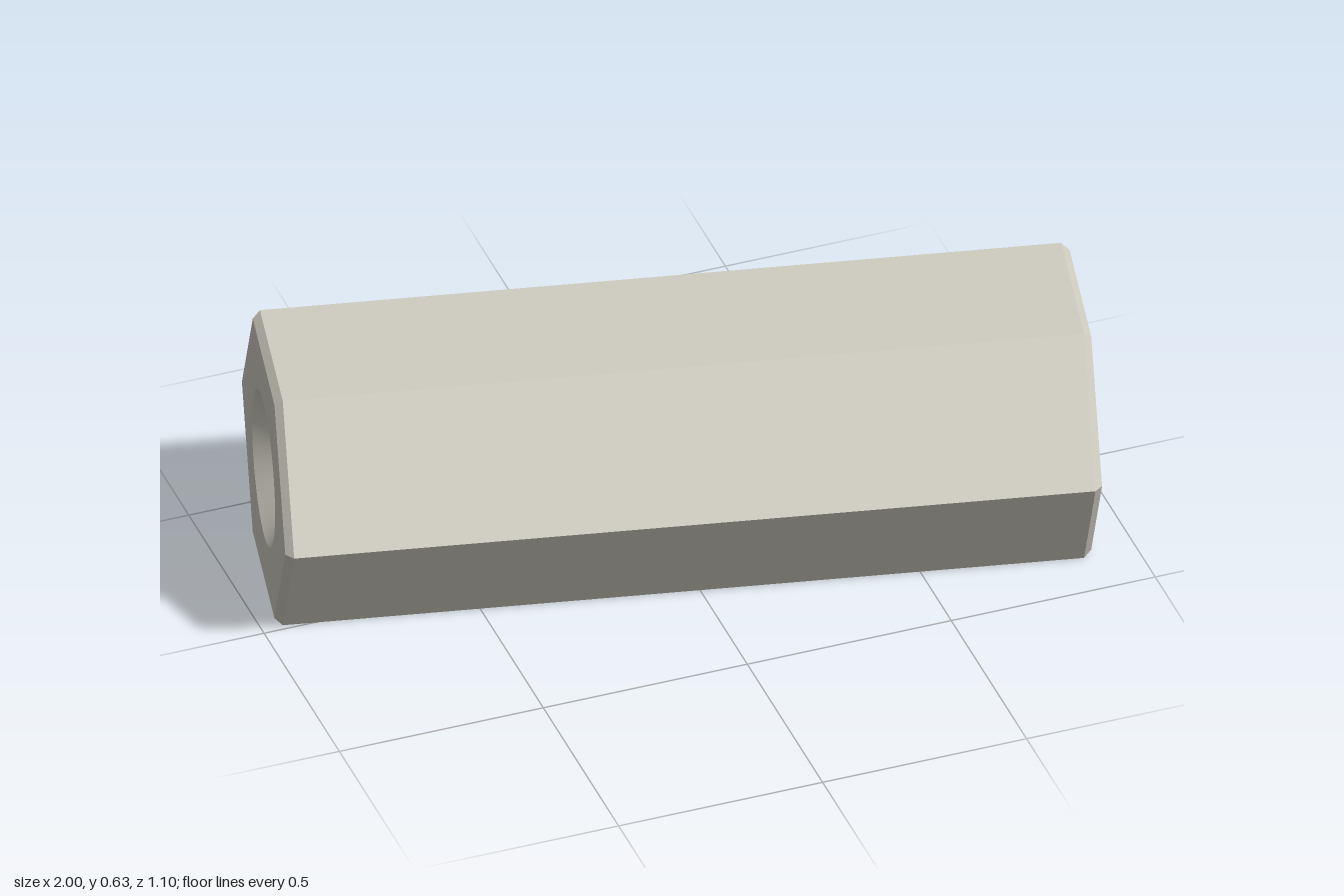
import * as THREE from 'three';
import { toCreasedNormals } from 'three/addons/utils/BufferGeometryUtils.js';

const R = 0.365;          // hexagon corner radius
const HALF = 0.949;       // half length
const CHAMFER = 0.018;    // outer edge chamfer
const BORE = 0.128;       // bore radius
const SINK = 0.184;       // countersink mouth radius
const SINK_DEPTH = 0.053;
const YAW = THREE.MathUtils.degToRad(12);

// Revolve [radius, height] pairs; rising profiles face outward, falling ones inward
function lathe(profile, sides) {
  const points = profile.map(([r, y]) => new THREE.Vector2(r, y));
  return toCreasedNormals(new THREE.LatheGeometry(points, sides), 0.4);
}

// Flat hexagonal end face with a round opening
function endFace() {
  const corners = [];
  for (let i = 0; i < 6; i++) {
    const a = Math.PI / 2 + (i * Math.PI) / 3;
    corners.push(new THREE.Vector2(Math.cos(a), Math.sin(a)).multiplyScalar(R - CHAMFER));
  }
  const shape = new THREE.Shape(corners);
  shape.holes.push(new THREE.Path().absarc(0, 0, SINK, 0, Math.PI * 2, true));
  return new THREE.ShapeGeometry(shape, 32);
}

export function createModel() {
  const metal = new THREE.MeshStandardMaterial({ color: 0xd0cdc1 });
  metal.name = 'pale metal';
  const group = new THREE.Group();
  group.name = 'hexStandoff';

  const add = (name, geometry) => {
    const mesh = new THREE.Mesh(geometry, metal);
    mesh.name = name;
    group.add(mesh);
    return mesh;
  };

  // Six-sided body with chamfered ends
  add('hexBody', lathe([
    [R - CHAMFER, -HALF], [R, -HALF + CHAMFER], [R, HALF - CHAMFER], [R - CHAMFER, HALF],
  ], 6));

  // Through bore with a countersink at each end
  const inner = HALF - SINK_DEPTH;
  add('bore', lathe([[SINK, HALF], [BORE, inner], [BORE, -inner], [SINK, -HALF]], 64));

  // End faces
  for (const side of [1, -1]) {
    const face = add(side > 0 ? 'leftEndFace' : 'rightEndFace', endFace());
    face.rotation.x = (-side * Math.PI) / 2;
    face.position.y = side * HALF;
  }

  // Lay the part on a flat side, turned slightly
  group.rotation.set(0, -YAW, -Math.PI / 2);
  group.position.y = R * Math.cos(Math.PI / 6);

  const model = new THREE.Group();
  model.name = 'standoff';
  model.add(group);
  return model;
}
